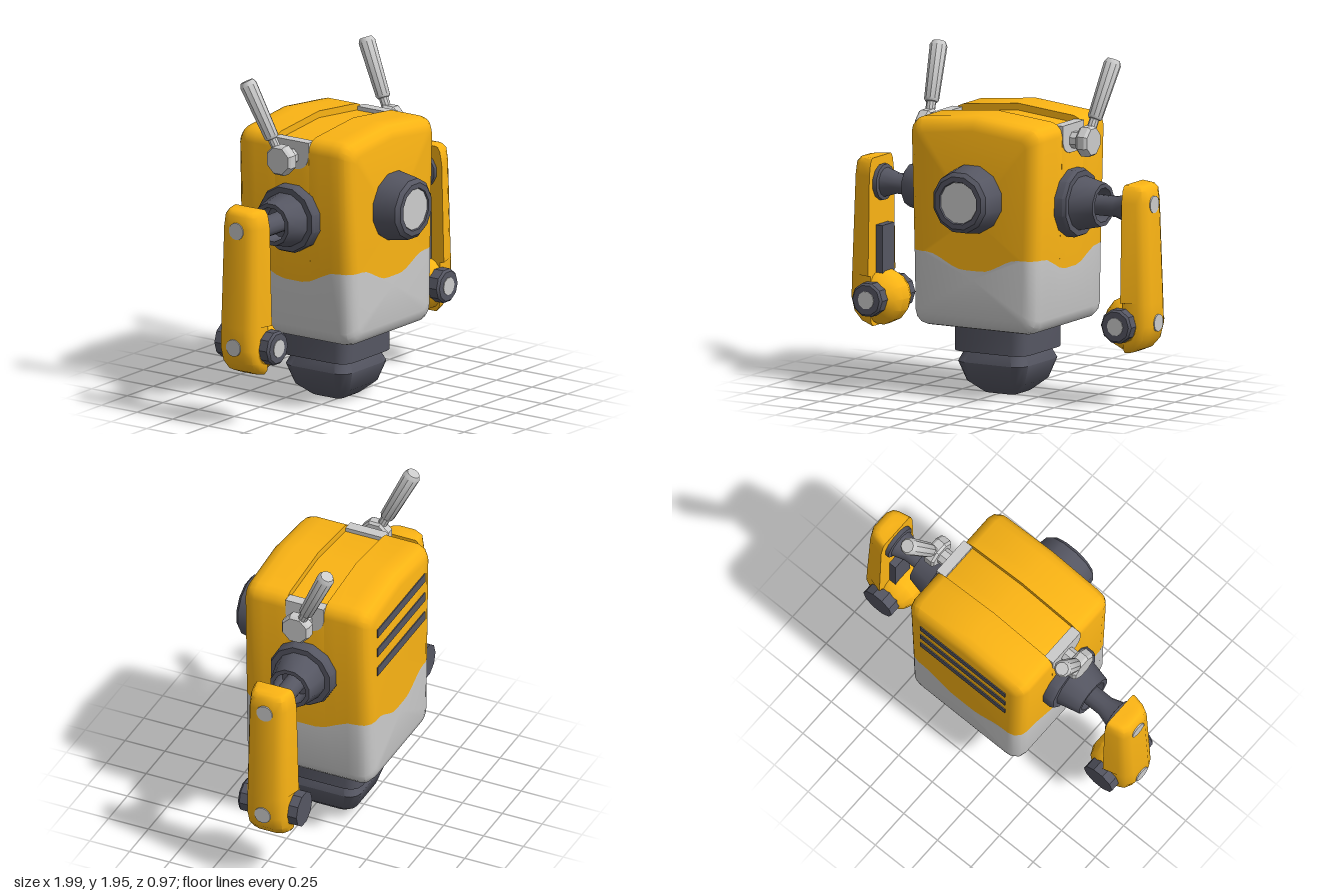
import * as THREE from 'three';
import { toCreasedNormals } from 'three/addons/utils/BufferGeometryUtils.js';

const paint = (color) => new THREE.MeshStandardMaterial({ color, roughness: 0.8 });
const YELLOW = paint(0xfbb414), DARK = paint(0x555662), GREY = paint(0xcccccc);
const MID = -0.08; // z of the body's centre
const V = (x, y, z) => new THREE.Vector3(x, y, z);

function part(parent, name, geo, mat, x = 0, y = 0, z = 0) {
  const m = new THREE.Mesh(geo, mat);
  m.name = name;
  m.position.set(x, y, z);
  parent.add(m);
  return m;
}

// Skin over cross-sections; sections run counter-clockwise around the sweep.
// extraStart / extraEnd complete an open section's end cap.
function loft(sections, closed, extraStart = [], extraEnd = [], crease = 0.6) {
  const pos = [];
  const tri = (...p) => p.forEach((v) => pos.push(v.x, v.y, v.z));
  const n = sections[0].length;
  for (let i = 0; i < sections.length - 1; i++) {
    for (let j = 0; j < (closed ? n : n - 1); j++) {
      const k = (j + 1) % n, A = sections[i], B = sections[i + 1];
      tri(A[j], B[k], B[j]);
      tri(A[j], A[k], B[k]);
    }
  }
  const cap = (pts, flip) => {
    const c = pts.reduce((s, p) => s.add(p), V(0, 0, 0)).divideScalar(pts.length);
    pts.forEach((p, j) => {
      const q = pts[(j + 1) % pts.length];
      flip ? tri(c, q, p) : tri(c, p, q);
    });
  };
  cap([...sections[0], ...extraStart], true);
  cap([...sections.at(-1), ...extraEnd], false);
  const geo = new THREE.BufferGeometry();
  geo.setAttribute('position', new THREE.Float32BufferAttribute(pos, 3));
  return toCreasedNormals(geo, crease);
}

// Turned part; profile is [radius, distance along axis]
function turned(profile, axis, sides = 12) {
  const geo = new THREE.LatheGeometry(profile.map(([r, h]) => new THREE.Vector2(r, h)), sides);
  geo.rotateY(Math.PI / sides);
  if (axis === 'x') geo.rotateZ(-Math.PI / 2);
  if (axis === 'z') geo.rotateX(Math.PI / 2);
  return toCreasedNormals(geo, 0.6);
}

// Wavy line where the upper and lower shells meet
const wave = (offset) => 0.755 + 0.085 * THREE.MathUtils.smoothstep(Math.abs(offset), 0.06, 0.3);
const halfWidth = (y) => 0.4 + 0.03 * (y - 0.41) / 1.1;

function buildBody(root) {
  const R = 0.08;
  const mirrorPath = (half) => [...half, ...half.map((p) => V(-p.x, p.y, p.z)).reverse()];
  const upper = (z, d, drop) => {
    const half = [V(halfWidth(0.84) - d, wave(z - MID), z)];
    const r = R - d * 0.5;
    for (const a of [0, 27, 54, 80].map(THREE.MathUtils.degToRad))
      half.push(V(0.43 - d - r + r * Math.cos(a), 1.605 - d - drop - r + r * Math.sin(a), z));
    half.push(V(0.001, 1.64 - d - drop, z));
    return mirrorPath(half);
  };
  const lower = (z, d) => {
    const half = [V(d - halfWidth(0.84), wave(z - MID), z)];
    const r = R - d * 0.5;
    for (const a of [0, 30, 60, 90].map(THREE.MathUtils.degToRad))
      half.push(V(-(0.405 - d - r + r * Math.cos(a)), 0.405 + d + r - r * Math.sin(a), z));
    return mirrorPath(half);
  };
  // [z, inset, roof drop] from back to front
  const stations = [];
  const bevel = [0, 30, 60, 90].map(THREE.MathUtils.degToRad)
    .map((a) => [R * (1 - Math.sin(a)), R * (1 - Math.cos(a))]);
  bevel.forEach(([inset, dz]) => stations.push([MID - 0.4 + dz, inset, 0]));
  stations.push([-0.34, 0, 0], [-0.27, 0, 0], [-0.2, 0, 0]);
  for (const z of [-0.2, -0.14, -0.02, 0.04]) stations.push([z, 0, 0.04]);
  stations.push([0.04, 0, 0], [0.11, 0, 0], [0.18, 0, 0]);
  [...bevel].reverse().forEach(([inset, dz]) => stations.push([MID + 0.4 - dz, inset, 0]));

  const seam = (z, dir) => {
    const pts = [];
    for (let i = -7; i <= 7; i++) pts.push(V(dir * i * 0.043, wave(i * 0.043), z));
    return pts;
  };
  const z0 = MID - 0.4, z1 = MID + 0.4;
  part(root, 'upperShell', loft(stations.map((s) => upper(...s)), false, seam(z0, 1), seam(z1, 1)), YELLOW);
  part(root, 'lowerShell', loft(stations.map(([z, d]) => lower(z, d)), false, seam(z0, -1), seam(z1, -1)), GREY);

  // Back vents
  for (let i = 0; i < 3; i++)
    part(root, 'backVent', new THREE.BoxGeometry(0.63, 0.055, 0.02), DARK, 0, 1.43 - i * 0.13, z0 + 0.004);

  // Eye housing and lens
  part(root, 'eyeHousing', turned([[0.2, -0.02], [0.2, 0.01], [0.178, 0.14], [0.155, 0.16], [0.125, 0.16], [0.12, 0.145], [0, 0.145]], 'z'), DARK, 0, 1.17, z1);
  part(root, 'eyeLens', turned([[0.12, 0.14], [0.12, 0.152], [0, 0.152]], 'z'), GREY, 0, 1.17, z1);
}

// Rounded square section around the y axis
function squareRing(h, y) {
  const r = h * 0.32, pts = [];
  for (let k = 0; k < 4; k++) {
    const mid = (k + 0.5) * Math.PI / 2;
    for (let s = 0; s < 4; s++) {
      const a = k * Math.PI / 2 + s * Math.PI / 6;
      pts.push(V(Math.sign(Math.sin(mid)) * (h - r) + r * Math.sin(a), y,
        MID + Math.sign(Math.cos(mid)) * (h - r) + r * Math.cos(a)));
    }
  }
  return pts;
}

function buildBase(root) {
  part(root, 'neck', loft([squareRing(0.24, 0.25), squareRing(0.24, 0.43)], true), DARK);
  const rings = [[0.1, 0], [0.115, 0.01], [0.185, 0.07], [0.225, 0.185], [0.195, 0.25], [0.19, 0.27]];
  part(root, 'foot', loft(rings.map(([h, y]) => squareRing(h, y)), true, [], [], 0.8), DARK);
}

// Everything on one side, made for +x
function buildSide(name) {
  const g = new THREE.Group();
  g.name = name;

  // Shoulder socket and shaft
  part(g, 'shoulderSocket', turned([[0.2, 0.4], [0.2, 0.47], [0.19, 0.49], [0.157, 0.49], [0.125, 0.63], [0.1, 0.63], [0.1, 0.52], [0, 0.52]], 'x'), DARK, 0, 1.13, MID);
  part(g, 'shoulderShaft', turned([[0.06, 0.5], [0.06, 0.72], [0.085, 0.8], [0.105, 0.805], [0.105, 0.84], [0, 0.84]], 'x'), DARK, 0, 1.13, MID);

  // Arm shell: [y, outer x, outer half depth, inner half depth]
  const arm = [
    [0.31, 0.86, 0.08, 0.1], [0.335, 0.92, 0.105, 0.12], [0.39, 0.968, 0.12, 0.125], [0.47, 0.99, 0.125, 0.125],
    [0.6, 0.985, 0.125, 0.127], [0.605, 0.985, 0.125, 0.153], [1.18, 0.962, 0.118, 0.138],
    [1.25, 0.955, 0.11, 0.125], [1.275, 0.935, 0.095, 0.11], [1.28, 0.91, 0.08, 0.1],
  ].map(([y, xo, h, hi]) => {
    const w = xo - 0.83;
    const half = [[0.83, hi], [0.83 + w * 0.6, h], [0.83 + w * 0.85, h * 0.85], [xo, h * 0.5]];
    return [...half.map(([x, z]) => V(x, y, MID + z)), ...half.reverse().map(([x, z]) => V(x, y, MID - z))];
  });
  part(g, 'armShell', loft(arm, true, [], [], 0.75), YELLOW);
  part(g, 'armInnerPanel', new THREE.BoxGeometry(0.06, 0.29, 0.13), DARK, 0.815, 0.745, MID);

  // Round lower joint with end discs
  part(g, 'lowerJoint', turned([[0, -0.127], [0.095, -0.127], [0.135, -0.095], [0.16, -0.04], [0.16, 0.04], [0.135, 0.095], [0.095, 0.127], [0, 0.127]], 'z', 14), YELLOW, 0.825, 0.47, MID);
  part(g, 'frontDisc', turned([[0.1, 0.1], [0.1, 0.18], [0.088, 0.193], [0, 0.193]], 'z', 10), DARK, 0.82, 0.475, MID);
  part(g, 'frontDiscCap', turned([[0.052, 0.18], [0.052, 0.197], [0, 0.197]], 'z', 10), GREY, 0.82, 0.475, MID);
  part(g, 'backDisc', turned([[0, -0.182], [0.105, -0.182], [0.105, -0.1]], 'z', 10), DARK, 0.82, 0.475, MID);

  // Flat buttons on the outer face
  for (const [x, y] of [[0.955, 1.165], [0.982, 0.485]])
    part(g, 'armButton', turned([[0.05, 0], [0.05, 0.013], [0, 0.013]], 'x', 14), GREY, x, y, MID);

  // Rounded plate at the end of the roof groove
  const plate = new THREE.Shape();
  plate.moveTo(-0.12, 1.585);
  plate.lineTo(-0.12, 1.5);
  plate.quadraticCurveTo(-0.11, 1.43, -0.04, 1.42);
  plate.lineTo(0.04, 1.42);
  plate.quadraticCurveTo(0.11, 1.43, 0.12, 1.5);
  plate.lineTo(0.12, 1.585);
  const plateGeo = new THREE.ExtrudeGeometry(plate, { depth: 0.063, bevelEnabled: false, curveSegments: 5 });
  plateGeo.rotateY(Math.PI / 2);
  part(g, 'groovePlate', plateGeo, GREY, 0.37, 0, MID);

  // Antenna pivot and rod
  part(g, 'antennaBoss', turned([[0.05, 0.41], [0.05, 0.5]], 'x', 8), GREY, 0, 1.49, MID);
  part(g, 'antennaHub', turned([[0, 0.49], [0.08, 0.49], [0.092, 0.505], [0.092, 0.55], [0.08, 0.566], [0, 0.566]], 'x', 8), GREY, 0, 1.49, MID);
  const foot = V(0.528, 1.53, -0.1);
  const rod = part(g, 'antennaRod', turned([[0.028, 0], [0.028, 0.085], [0.036, 0.088], [0.043, 0.1], [0.051, 0.42], [0.038, 0.445], [0, 0.445]], 'y', 10), GREY, foot.x, foot.y, foot.z);
  rod.quaternion.setFromUnitVectors(V(0, 1, 0), V(0.575, 1.93, -0.29).sub(foot).normalize());
  return g;
}

export function createModel() {
  const root = new THREE.Group();
  root.name = 'robot';
  buildBody(root);
  buildBase(root);
  const right = buildSide('rightSide');
  right.scale.x = -1;
  root.add(buildSide('leftSide'), right);
  return root;
}
